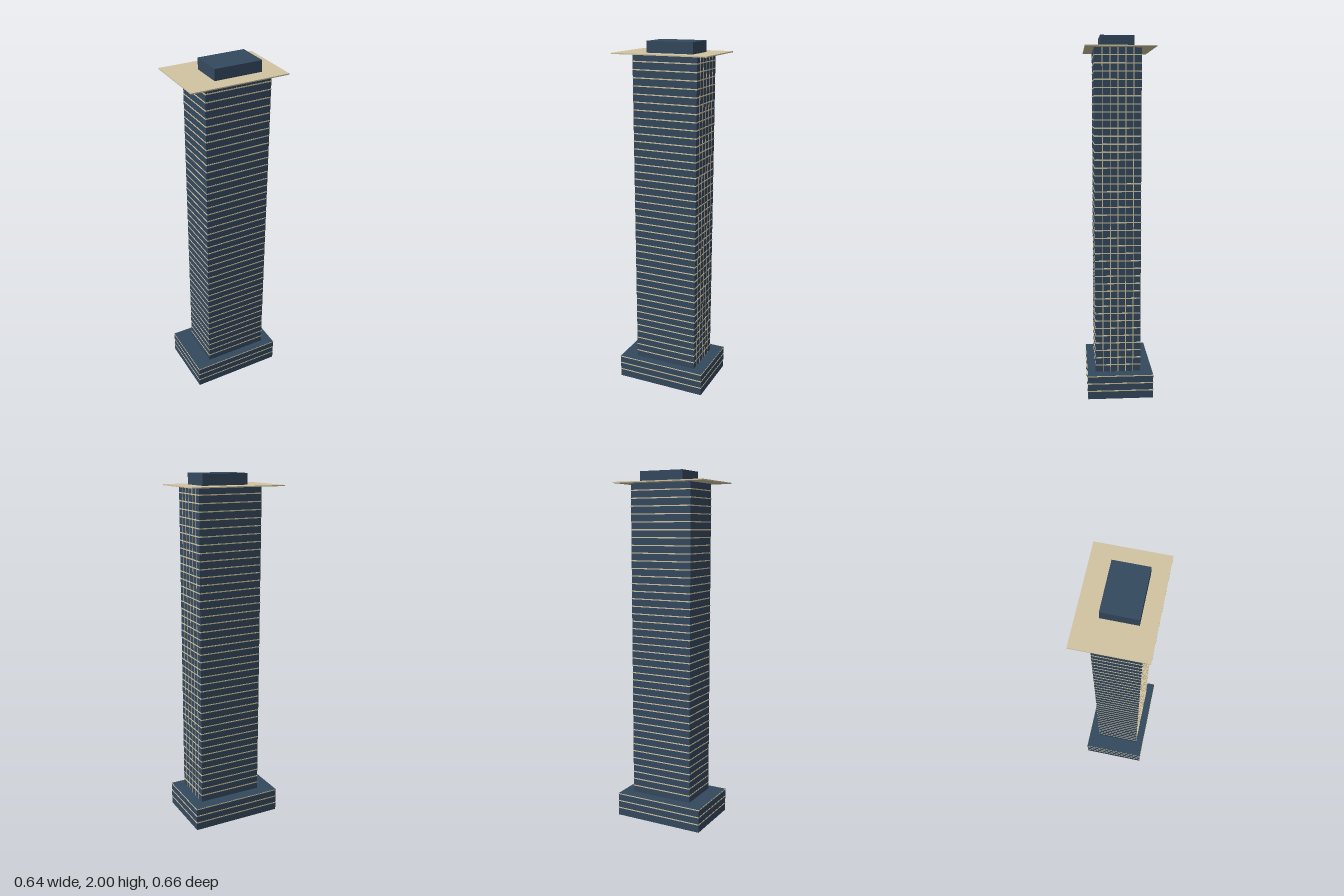
import * as THREE from 'three';

const FLOOR = 0.043;   // storey height
const BAND = 0.006;    // floor slab thickness
const FLOORS = 45;
const PODIUM_FLOORS = 3;

export function createModel() {
  const model = new THREE.Group();
  model.name = 'tower block';

  const glass = new THREE.MeshStandardMaterial({ color: 0x34495e });
  const stone = new THREE.MeshStandardMaterial({ color: 0xd2c4a2 });

  // Whole building is turned 40 degrees on its site
  const building = new THREE.Group();
  building.name = 'building';
  building.rotation.y = THREE.MathUtils.degToRad(-40);
  model.add(building);

  // Box from height y0 to y1, centred on (x, z)
  function block(name, material, w, d, y0, y1, x = 0, z = 0) {
    const mesh = new THREE.Mesh(new THREE.BoxGeometry(w, y1 - y0, d), material);
    mesh.name = name;
    mesh.position.set(x, (y0 + y1) / 2, z);
    building.add(mesh);
    return mesh;
  }

  const tower = { w: 0.254, d: 0.372, x: 0.011, z: -0.014 };
  const podium = { w: 0.366, d: 0.53 };
  const podiumTop = PODIUM_FLOORS * FLOOR + BAND;
  const roofY = FLOORS * FLOOR;

  // Podium and tower bodies
  block('podium', glass, podium.w, podium.d, 0, podiumTop);
  block('tower', glass, tower.w, tower.d, podiumTop, roofY, tower.x, tower.z);

  // Floor slabs showing as thin bands around each storey
  for (let i = 1; i < FLOORS; i++) {
    const y = i * FLOOR;
    if (i <= PODIUM_FLOORS) {
      // the top band stops just under the podium roof
      const top = i === PODIUM_FLOORS ? y + BAND - 0.0005 : y + BAND;
      block('podiumFloorBand', stone, podium.w + 0.003, podium.d + 0.003, y, top);
    } else {
      block('towerFloorBand', stone, tower.w + 0.003, tower.d + 0.003, y, y + BAND, tower.x, tower.z);
    }
  }

  // Vertical mullions on the rear short face
  for (let i = 1; i < 6; i++) {
    const x = tower.x + tower.w * (i / 6 - 0.5);
    block('mullion', stone, 0.004, 0.003, podiumTop, roofY, x, tower.z - tower.d / 2);
  }

  // Overhanging roof plate and plant room
  block('roofPlate', stone, 0.378, 0.545, roofY - 0.002, roofY + 0.004);
  block('plantRoom', glass, 0.184, 0.266, roofY + 0.004, 2, 0.013, -0.029);

  return model;
}
